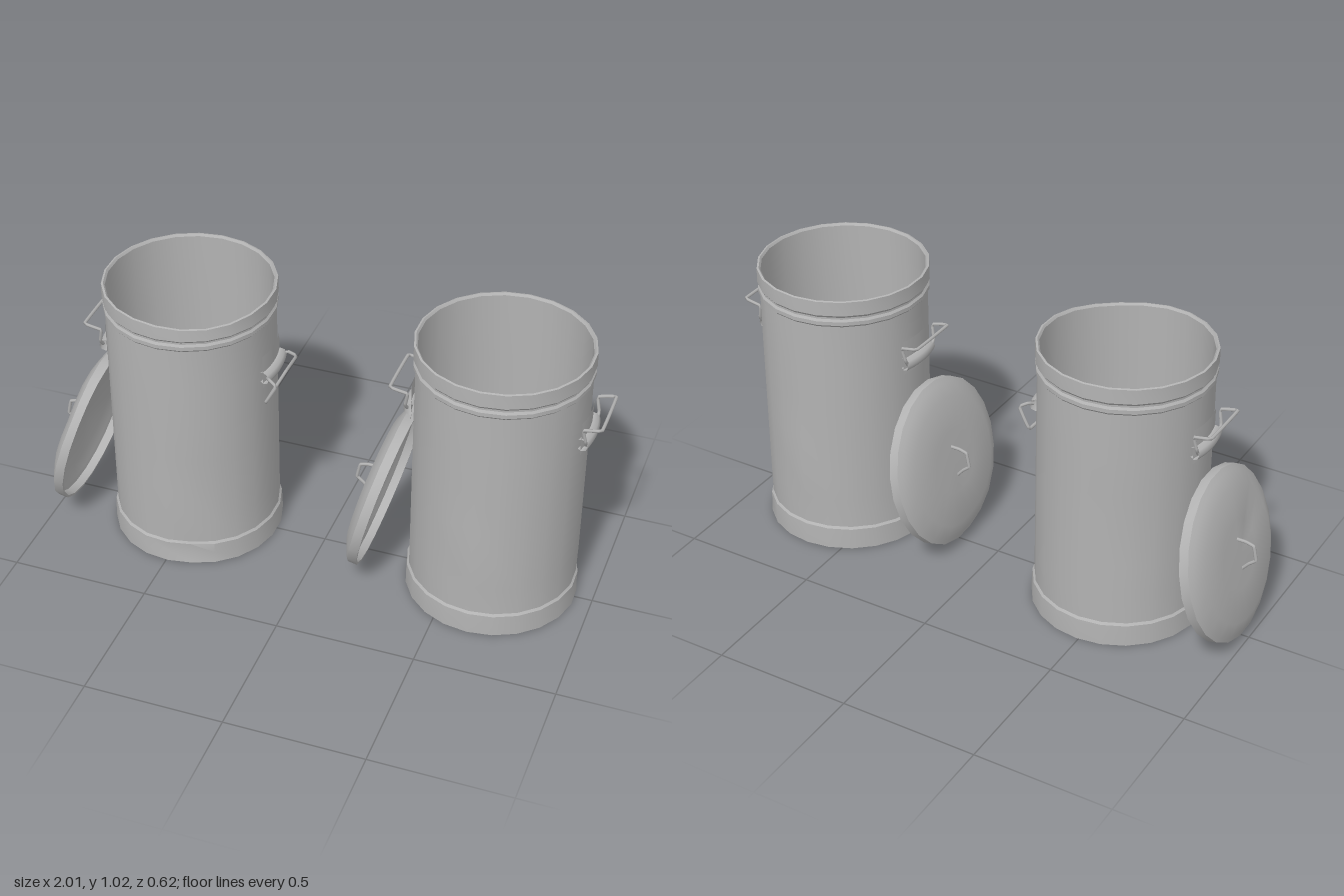
import * as THREE from 'three';
import { toCreasedNormals } from 'three/addons/utils/BufferGeometryUtils.js';

const SIDES = 22;
const steel = new THREE.MeshStandardMaterial({ color: 0xb2b2b2, side: THREE.DoubleSide });
steel.name = 'galvanised steel';

const mesh = (name, geometry) => {
  const m = new THREE.Mesh(geometry, steel);
  m.name = name;
  return m;
};

// Revolved sheet metal; each dent is [angle from +z, height, width, height spread, push, drop]
function spun(profile, dents = []) {
  const g = new THREE.LatheGeometry(profile.map(([r, y]) => new THREE.Vector2(r, y)), SIDES);
  const p = g.attributes.position;
  for (let i = 0; i < p.count; i++) {
    const x = p.getX(i), y = p.getY(i), z = p.getZ(i);
    const r = Math.hypot(x, z);
    if (r < 0.1) continue;
    const a = Math.atan2(x, z);
    let push = 0, drop = 0;
    for (const [da, dy, wa, wy, amount, fall] of dents) {
      const d = Math.atan2(Math.sin(a - da), Math.cos(a - da));
      const k = Math.exp(-((d / wa) ** 2) - ((y - dy) / wy) ** 2);
      push += amount * k;
      drop += fall * k;
    }
    p.setXYZ(i, x * (1 + push / r), y - drop, z * (1 + push / r));
  }
  return toCreasedNormals(g, 0.6);
}

// Bent wire through a few points
function wire(points, radius) {
  const curve = new THREE.CatmullRomCurve3(points.map(p => new THREE.Vector3(...p)), false, 'catmullrom', 0.1);
  return new THREE.TubeGeometry(curve, 40, radius, 6);
}

// Bin wall: base band, body, beaded neck, rim, then the inside down to the floor
const BIN = [
  [0, 0.004], [0.295, 0.004], [0.3, 0], [0.308, 0.002], [0.307, 0.045], [0.305, 0.082], [0.298, 0.09],
  [0.298, 0.2], [0.298, 0.32], [0.298, 0.45], [0.298, 0.6], [0.298, 0.75], [0.297, 0.92],
  [0.304, 0.928], [0.304, 0.942], [0.298, 0.95], [0.298, 0.957], [0.305, 0.966], [0.304, 1.018], [0.297, 1.02],
  [0.291, 1.012], [0.289, 0.75], [0.289, 0.45], [0.289, 0.2], [0.289, 0.02], [0, 0.02],
];

const LID = [
  [0, 0.058], [0.23, 0.054], [0.275, 0.036], [0.294, 0.03], [0.296, 0], [0.305, 0],
  [0.306, 0.034], [0.288, 0.044], [0.24, 0.065], [0.12, 0.068], [0, 0.07],
];

// Carry handle on the +x side of a bin; the bail is either raised or hanging
function sideHandle(hanging) {
  const g = new THREE.Group();
  g.name = 'sideHandle';
  const arc = 0.54;
  const plate = new THREE.CylinderGeometry(0.305, 0.305, 0.13, 6, 1, true, Math.PI / 2 - arc / 2, arc);
  g.add(mesh('handlePlate', plate.translate(0, 0.75, 0)));

  const roll = new THREE.TorusGeometry(0.308, 0.023, 8, 8, arc);
  roll.rotateZ(-arc / 2).rotateX(Math.PI / 2).translate(0, 0.727, 0);
  g.add(mesh('handleRoll', roll));

  // half of the bail, mirrored across z
  const half = hanging
    ? [[0.31, 0.727, 0.075], [0.318, 0.735, 0.09], [0.35, 0.715, 0.1], [0.31, 0.64, 0.1]]
    : [[0.31, 0.727, 0.075], [0.312, 0.75, 0.092], [0.302, 0.803, 0.1], [0.364, 0.817, 0.1]];
  const other = half.map(([x, y, z]) => [x, y, -z]).reverse();
  g.add(mesh('handleBail', wire([...half, ...other], 0.006)));
  return g;
}

// Lid leaning against the -x side of its bin
function leaningLid(dents) {
  const g = new THREE.Group();
  g.name = 'lid';
  g.add(mesh('lidShell', spun(LID, dents)));
  g.add(mesh('lidGrip', wire([
    [0.06, 0.06, 0], [0.05, 0.1, 0], [0.035, 0.126, 0], [-0.02, 0.124, 0], [-0.035, 0.095, 0], [-0.06, 0.06, 0],
  ], 0.006)));
  g.position.set(-0.385, 0.315, 0);
  g.rotation.z = 1.329;
  return g;
}

function bin(name, x, { dents, lidDents, rightHanging }) {
  const g = new THREE.Group();
  g.name = name;
  g.add(mesh('binBody', spun(BIN, dents)));
  g.add(sideHandle(rightHanging));
  const opposite = sideHandle(false);
  opposite.rotation.y = Math.PI;
  g.add(opposite, leaningLid(lidDents));
  g.position.x = x;
  return g;
}

export function createModel() {
  const model = new THREE.Group();
  model.name = 'metalBins';
  model.add(
    bin('dentedBin', -0.493, {
      dents: [
        [0.25, 0.05, 0.3, 0.05, -0.014, 0],
        [0.5, 0.3, 0.35, 0.14, -0.008, 0],
        [0.6, 1.02, 0.6, 0.04, -0.004, 0.014],
        [-2.6, 0.45, 0.3, 0.2, -0.008, 0],
      ],
      lidDents: [[0.6, 0.06, 0.4, 0.05, 0, 0.008]],
      rightHanging: true,
    }),
    bin('plainBin', 0.631, {
      dents: [
        [1.95, 0.04, 0.25, 0.05, -0.012, 0],
        [0, 0.31, 0.2, 0.08, 0.009, 0],
        [Math.PI, 0.31, 0.2, 0.08, 0.009, 0],
      ],
      lidDents: [[-1.4, 0.05, 0.4, 0.05, -0.008, 0.004]],
      rightHanging: false,
    }),
  );
  return model;
}
